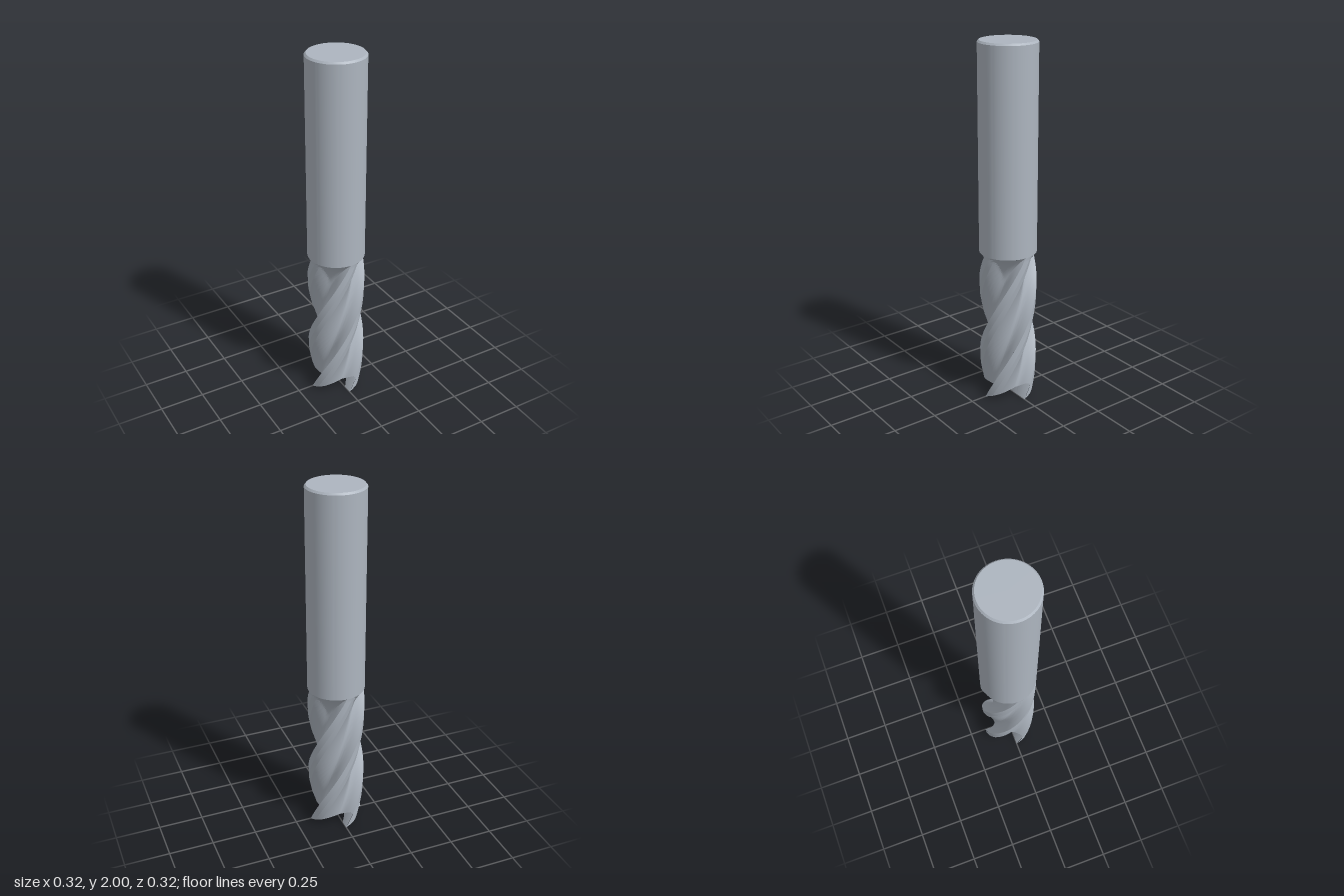
import * as THREE from 'three';
import { toCreasedNormals } from 'three/addons/utils/BufferGeometryUtils.js';

const R = 0.158, CORE = 0.09, PITCH = 1.72, FLUTE_TOP = 0.86, RUNOUT = 0.16;
const TEETH = 4, CAP_ROWS = 12, WALL_ROWS = 80;
const clamp = THREE.MathUtils.clamp;

// One quarter of the cross-section: cutting edge, two relief lands, flute, rake face
function toothSection() {
  const polar = (deg, r) => {
    const a = THREE.MathUtils.degToRad(deg);
    return new THREE.Vector2(r * Math.cos(a), r * Math.sin(a));
  };
  const flute = new THREE.SplineCurve([
    [26, 0.145], [35, 0.128], [45, 0.112], [56, 0.099], [66, 0.091],
    [74, 0.09], [80, 0.097], [84, 0.11], [87, 0.13], [90, R],
  ].map(([d, r]) => polar(d, r)));
  const points = [polar(0, R), polar(7, 0.157), polar(14, 0.156), polar(20, 0.151), ...flute.getPoints(27)];
  return points.map((p) => ({ angle: p.angle(), r: p.length() }));
}

// Height of the end face: relief behind each edge, every second tooth stops short of the centre
function endHeight(tooth, angle, r) {
  const relief = Math.min(0.08, 0.6 * r * Math.sin(angle));
  if (tooth % 2 === 0) return relief;
  const gash = Math.min(0.07, 1.2 * r) * clamp((0.105 - r) / 0.02, 0, 1);
  return Math.max(relief, gash);
}

// Twisted cutting part: end face rows from the centre outwards, then wall rows upwards
function cutterGeometry() {
  const section = toothSection();
  const columns = [];
  for (let t = 0; t < TEETH; t++) section.forEach((p) => columns.push({ ...p, tooth: t }));
  const rows = CAP_ROWS + WALL_ROWS;
  const positions = [], index = [];

  for (let j = 0; j <= rows; j++) {
    for (const { angle, r, tooth } of columns) {
      let radius, y;
      if (j <= CAP_ROWS) {
        radius = r * j / CAP_ROWS;
        y = endHeight(tooth, angle, radius);
      } else {
        const start = endHeight(tooth, angle, r);
        y = THREE.MathUtils.lerp(start, FLUTE_TOP, (j - CAP_ROWS) / WALL_ROWS);
        // flute floor sweeps out to the shank
        const u = clamp((y - FLUTE_TOP + RUNOUT) / RUNOUT, 0, 1);
        radius = Math.max(r, CORE + (R - CORE) * u * u);
      }
      const phi = angle + tooth * Math.PI / 2 + 2 * Math.PI * y / PITCH;
      positions.push(radius * Math.cos(phi), y, -radius * Math.sin(phi));
    }
  }

  const n = columns.length;
  for (let j = 0; j < rows; j++) {
    for (let i = 0; i < n; i++) {
      const seam = (i + 1) % section.length === 0;
      if (seam && j >= CAP_ROWS) continue;
      const next = (i + 1) % n;
      const a = j * n + i, b = j * n + next, c = b + n, d = a + n;
      if (j > 0) index.push(a, b, c);
      index.push(a, c, d);
    }
  }
  const geometry = new THREE.BufferGeometry();
  geometry.setAttribute('position', new THREE.Float32BufferAttribute(positions, 3));
  geometry.setIndex(index);
  return toCreasedNormals(geometry, 0.35);
}

export function createModel() {
  const steel = new THREE.MeshStandardMaterial({ color: 0xadb5bf });
  steel.name = 'steel';
  const model = new THREE.Group();
  model.name = 'endMill';

  // Plain cylindrical shank with a chamfered top
  const profile = [[R, FLUTE_TOP], [R, 1.99], [0.149, 2], [0, 2]].map(([x, y]) => new THREE.Vector2(x, y));
  const shank = new THREE.Mesh(toCreasedNormals(new THREE.LatheGeometry(profile, 96), 0.35), steel);
  shank.name = 'shank';

  const cutter = new THREE.Mesh(cutterGeometry(), steel);
  cutter.name = 'flutedCutter';

  model.add(shank, cutter);
  return model;
}
